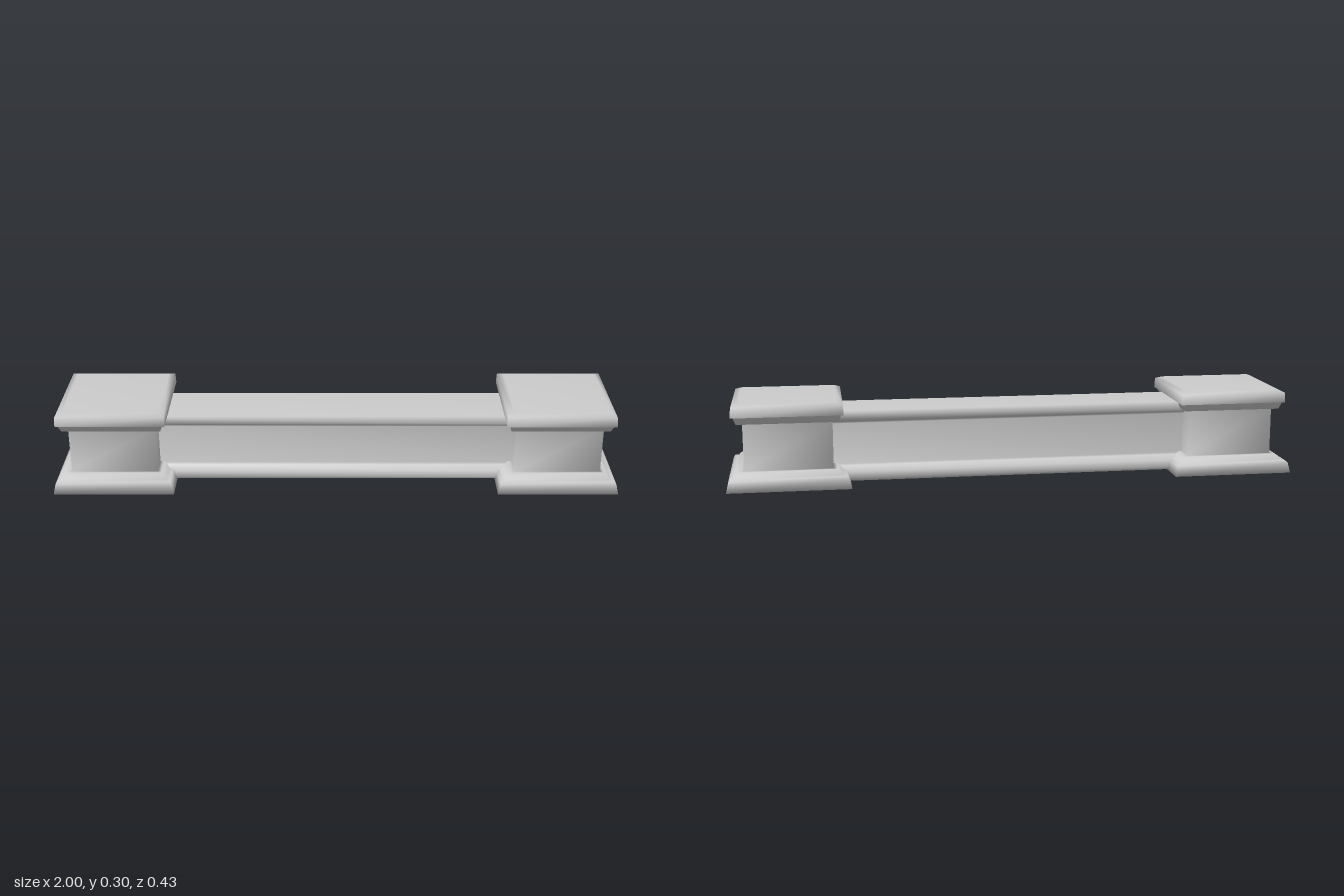
import * as THREE from 'three';

const material = new THREE.MeshStandardMaterial({ color: 0xcccccc });

// Joins equal closed rings of points into a smooth-shaded solid.
function loft(rings, capFaces) {
  const n = rings[0].length;
  const index = [];
  for (let r = 0; r < rings.length - 1; r++) {
    for (let i = 0; i < n; i++) {
      const a = r * n + i, b = r * n + (i + 1) % n;
      index.push(a, b, b + n, a, b + n, a + n);
    }
  }
  const last = (rings.length - 1) * n;
  for (const [a, b, c] of capFaces) {
    index.push(a, c, b, last + a, last + b, last + c);
  }
  const geometry = new THREE.BufferGeometry();
  geometry.setAttribute('position', new THREE.Float32BufferAttribute(rings.flat(2), 3));
  geometry.setIndex(index);
  geometry.computeVertexNormals();
  return geometry;
}

// Square moulded post from a [half width, height] profile.
function postGeometry() {
  const profile = [
    [0.213, 0.001], [0.205, 0.037], [0.197, 0.044], // plinth
    [0.186, 0.045], [0.178, 0.057], [0.165, 0.063], // base moulding
    [0.153, 0.063], [0.153, 0.23], // shaft
    [0.173, 0.23], [0.183, 0.256], // neck moulding
    [0.191, 0.256], [0.189, 0.291], [0.167, 0.3], // cap
  ];
  const rings = profile.map(([h, y]) => [[h, y, h], [h, y, -h], [-h, y, -h], [-h, y, h]]);
  return loft(rings, [[0, 1, 2], [0, 2, 3]]);
}

// Beam with recessed sides, its mirrored [half depth, height] section swept along x.
function beamGeometry() {
  const half = [
    [0.09, 0], [0.104, 0.012], [0.104, 0.036], [0.088, 0.055], [0.077, 0.06],
    [0.077, 0.205], [0.088, 0.213], [0.104, 0.225], [0.104, 0.246], [0.099, 0.253],
  ];
  const n = half.length;
  const section = [...half.map(([z, y]) => [-z, y]), ...half.toReversed()];
  const rings = [-0.65, 0.65].map((x) => section.map(([z, y]) => [x, y, z]));
  const caps = [];
  for (let i = 0; i < n - 1; i++) {
    const a = i, b = i + 1, c = 2 * n - 2 - i, d = 2 * n - 1 - i;
    caps.push([a, b, c], [a, c, d]);
  }
  return loft(rings, caps);
}

export function createModel() {
  const model = new THREE.Group();
  model.name = 'balustradeBase';

  const post = postGeometry();
  for (const [name, x] of [['leftPost', 0.787], ['rightPost', -0.787]]) {
    const mesh = new THREE.Mesh(post, material);
    mesh.name = name;
    mesh.position.x = x;
    model.add(mesh);
  }

  const beam = new THREE.Mesh(beamGeometry(), material);
  beam.name = 'beam';
  model.add(beam);
  return model;
}
